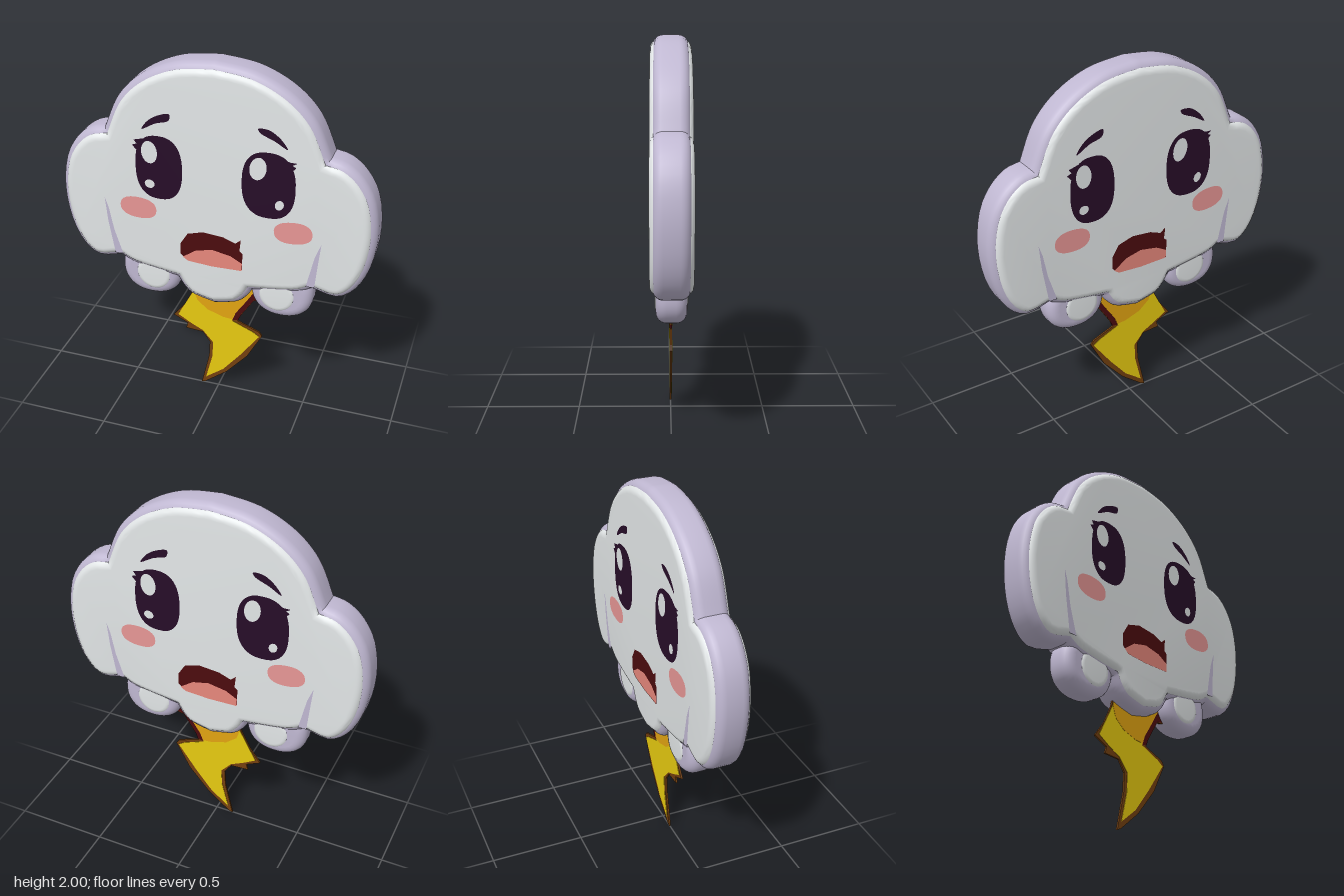
import * as THREE from 'three';
import { toCreasedNormals } from 'three/addons/utils/BufferGeometryUtils.js';

const mat = (name, color, side = THREE.FrontSide) => {
  const m = new THREE.MeshStandardMaterial({ color, side });
  m.name = name;
  return m;
};

const V = (p) => new THREE.Vector2(p[0], p[1]);

// Shape made of smooth arcs that meet in sharp notches
function arcShape(arcs) {
  const pts = [];
  for (const arc of arcs) {
    pts.push(...new THREE.SplineCurve(arc.map(V)).getPoints(24).slice(0, -1));
  }
  return new THREE.Shape(pts);
}

// Smooth closed shape, or straight-sided when smooth is false
function closedShape(points, smooth = true) {
  if (!smooth) return new THREE.Shape(points.map(V));
  const curve = new THREE.CatmullRomCurve3(points.map(([x, y]) => new THREE.Vector3(x, y, 0)), true);
  return new THREE.Shape(curve.getPoints(48).slice(0, -1).map((p) => new THREE.Vector2(p.x, p.y)));
}

// Superellipse: power 1 is an ellipse, smaller is boxier
function ovalShape(cx, cy, rx, ry, tilt = 0, power = 1) {
  const pts = [];
  for (let i = 0; i < 48; i++) {
    const a = (i / 48) * Math.PI * 2;
    const x = rx * Math.sign(Math.cos(a)) * Math.abs(Math.cos(a)) ** power;
    const y = ry * Math.sign(Math.sin(a)) * Math.abs(Math.sin(a)) ** power;
    pts.push(new THREE.Vector2(cx + x * Math.cos(tilt) - y * Math.sin(tilt), cy + x * Math.sin(tilt) + y * Math.cos(tilt)));
  }
  return new THREE.Shape(pts);
}

// Slab centred on z = 0 with half depth half, rounded rim and outline inset
function slab(name, shape, material, half, bevel = 0, inset = 0) {
  const geo = new THREE.ExtrudeGeometry(shape, {
    depth: 2 * (half - bevel), bevelEnabled: bevel > 0, bevelThickness: bevel,
    bevelSize: bevel, bevelOffset: -bevel - inset, bevelSegments: 6, curveSegments: 24,
  });
  geo.translate(0, 0, -(half - bevel));
  const mesh = new THREE.Mesh(bevel > 0 ? toCreasedNormals(geo, 0.7) : geo, material);
  mesh.name = name;
  return mesh;
}

export function createModel() {
  const white = mat('cloud white', 0xeaeeef);
  const lavender = mat('lavender rim', 0xc0b8d2);
  const dark = mat('eye dark', 0x270d28);
  const pink = mat('blush pink', 0xf09c9b);
  const maroon = mat('mouth maroon', 0x4c0b0e);
  const coral = mat('tongue coral', 0xeb8a7e);
  const yellow = mat('bolt yellow', 0xe8cb10);
  const orange = mat('bolt orange', 0xe2a412);
  const brown = mat('bolt brown', 0x74400f);

  const model = new THREE.Group();
  model.name = 'cloud with lightning bolt';

  // Cloud body: right-hand arcs, mirrored for the left
  const flip = (pts) => pts.map(([x, y]) => [-x, y]).reverse();
  const dome = [[0, 2], [0.2, 1.973], [0.38, 1.887], [0.51, 1.757], [0.59, 1.58]];
  const cheek = [[0.59, 1.58], [0.67, 1.56], [0.755, 1.49], [0.82, 1.37], [0.845, 1.19], [0.82, 1.0], [0.755, 0.86], [0.66, 0.793], [0.53, 0.82]];
  const hem = [[0.53, 0.82], [0.46, 0.785], [0.34, 0.762], [0.21, 0.745]];
  const chin = [[0.21, 0.745], [0.175, 0.69], [0.12, 0.645], [0, 0.615]];
  const right = [dome, cheek, hem, chin];
  const outline = arcShape([...right, ...right.map(flip).reverse()]);
  model.add(slab('cloudRim', outline, lavender, 0.09, 0.05));
  model.add(slab('cloudFace', outline, white, 0.105, 0.04, 0.025));

  // Two small puffs under the cloud
  for (const s of [-1, 1]) {
    const puff = new THREE.Group();
    puff.name = s > 0 ? 'leftPuff' : 'rightPuff';
    puff.add(slab('puffRim', ovalShape(s * 0.365, 0.755, 0.168, 0.155, 0, 0.9), lavender, 0.078, 0.055));
    puff.add(slab('puffFace', ovalShape(s * 0.345, 0.745, 0.105, 0.105), white, 0.084, 0.03));
    model.add(puff);
  }

  // Face painted as thin plates, repeated on the back
  const makeFace = () => {
    const face = new THREE.Group();
    const plate = (name, shape, material, layer = 1) => {
      const mesh = new THREE.Mesh(new THREE.ShapeGeometry(shape), material);
      mesh.name = name;
      mesh.position.z = 0.105 + layer * 0.0015;
      face.add(mesh);
    };
    // Eyes with highlights
    plate('rightEye', ovalShape(-0.284, 1.41, 0.126, 0.178, 0, 0.8), dark);
    plate('leftEye', ovalShape(0.293, 1.404, 0.138, 0.182, 0, 0.8), dark);
    plate('rightEyeShine', ovalShape(-0.333, 1.492, 0.043, 0.062, 0.05), white, 2);
    plate('leftEyeShine', ovalShape(0.238, 1.49, 0.043, 0.063, -0.2), white, 2);
    plate('rightEyeGlint', ovalShape(-0.336, 1.312, 0.027, 0.024), white, 2);
    plate('leftEyeGlint', ovalShape(0.352, 1.305, 0.022, 0.028, -0.4), white, 2);
    // Lashes
    plate('rightLash', closedShape([[-0.34, 1.57], [-0.415, 1.55], [-0.4, 1.53], [-0.425, 1.52], [-0.38, 1.47]], false), dark);
    plate('leftLash', closedShape([[0.34, 1.57], [0.39, 1.48], [0.43, 1.525], [0.41, 1.535], [0.435, 1.55], [0.4, 1.55]], false), dark);
    // Brows
    plate('rightBrow', closedShape([[-0.37, 1.615], [-0.295, 1.655], [-0.225, 1.68], [-0.22, 1.715], [-0.275, 1.703], [-0.335, 1.665]]), dark);
    plate('leftBrow', closedShape([[0.235, 1.705], [0.245, 1.685], [0.32, 1.65], [0.385, 1.615], [0.35, 1.665], [0.29, 1.705]]), dark);
    // Blush
    plate('rightBlush', ovalShape(-0.405, 1.16, 0.1, 0.061, -0.03, 0.85), pink);
    plate('leftBlush', ovalShape(0.427, 1.157, 0.1, 0.062, 0.1, 0.85), pink);
    // Mouth and tongue
    plate('mouth', closedShape([[-0.175, 0.92], [-0.135, 0.885], [0, 0.876], [0.162, 0.88], [0.165, 0.985], [0.148, 1.0], [0.155, 1.065], [0.125, 1.04], [0.06, 1.065], [-0.05, 1.075], [-0.135, 1.05], [-0.175, 0.985]], false), maroon);
    plate('tongue', closedShape([[-0.163, 0.905], [-0.135, 0.885], [0, 0.876], [0.16, 0.88], [0.163, 0.925], [0.1, 0.96], [0, 0.978], [-0.09, 0.957]], false), coral, 2);
    // Creases where the cheeks meet the middle
    plate('rightCrease', closedShape([[-0.595, 1.19], [-0.582, 1.05], [-0.55, 0.855], [-0.505, 0.855], [-0.55, 1.0], [-0.575, 1.13]], false), lavender);
    plate('leftCrease', closedShape([[0.575, 1.12], [0.545, 1.04], [0.505, 0.855], [0.55, 0.855], [0.56, 0.97]], false), lavender);
    return face;
  };
  const front = makeFace();
  front.name = 'frontFace';
  const back = makeFace();
  back.name = 'backFace';
  back.rotation.y = Math.PI;
  model.add(front, back);

  // Lightning bolt: brown edge with coloured layers showing on both sides
  const bolt = new THREE.Group();
  bolt.name = 'lightningBolt';
  const layer = (name, pts, material, half) => bolt.add(slab(name, closedShape(pts, false), material, half));
  layer('boltEdge', [[-0.12, 0.72], [-0.15, 0.62], [-0.2, 0.52], [-0.262, 0.44], [-0.18, 0.4], [-0.19, 0.365], [-0.09, 0.358], [-0.05, 0.3], [-0.055, 0.2], [-0.1, 0], [-0.075, 0.01], [0.05, 0.11], [0.17, 0.25], [0.252, 0.405], [0.235, 0.43], [0.11, 0.478], [0.13, 0.52], [0.2, 0.63], [0.25, 0.64], [0.21, 0.72]], brown, 0.005);
  layer('boltShadow', [[0.07, 0.475], [0.115, 0.485], [0.13, 0.525], [0.2, 0.635], [0.245, 0.645], [0.2, 0.7], [0.15, 0.66]], maroon, 0.006);
  layer('boltFace', [[-0.11, 0.71], [-0.14, 0.63], [-0.235, 0.45], [-0.16, 0.405], [-0.09, 0.37], [-0.03, 0.3], [-0.035, 0.2], [-0.073, 0.045], [0.03, 0.125], [0.13, 0.25], [0.237, 0.4], [0.2, 0.425], [0.08, 0.475], [0.1, 0.53], [0.16, 0.62], [0.215, 0.71]], yellow, 0.007);
  layer('boltShade', [[-0.11, 0.71], [-0.14, 0.63], [-0.12, 0.57], [-0.06, 0.52], [0.03, 0.49], [0.083, 0.485], [0.1, 0.53], [0.16, 0.62], [0.215, 0.71]], orange, 0.008);
  model.add(bolt);

  return model;
}
